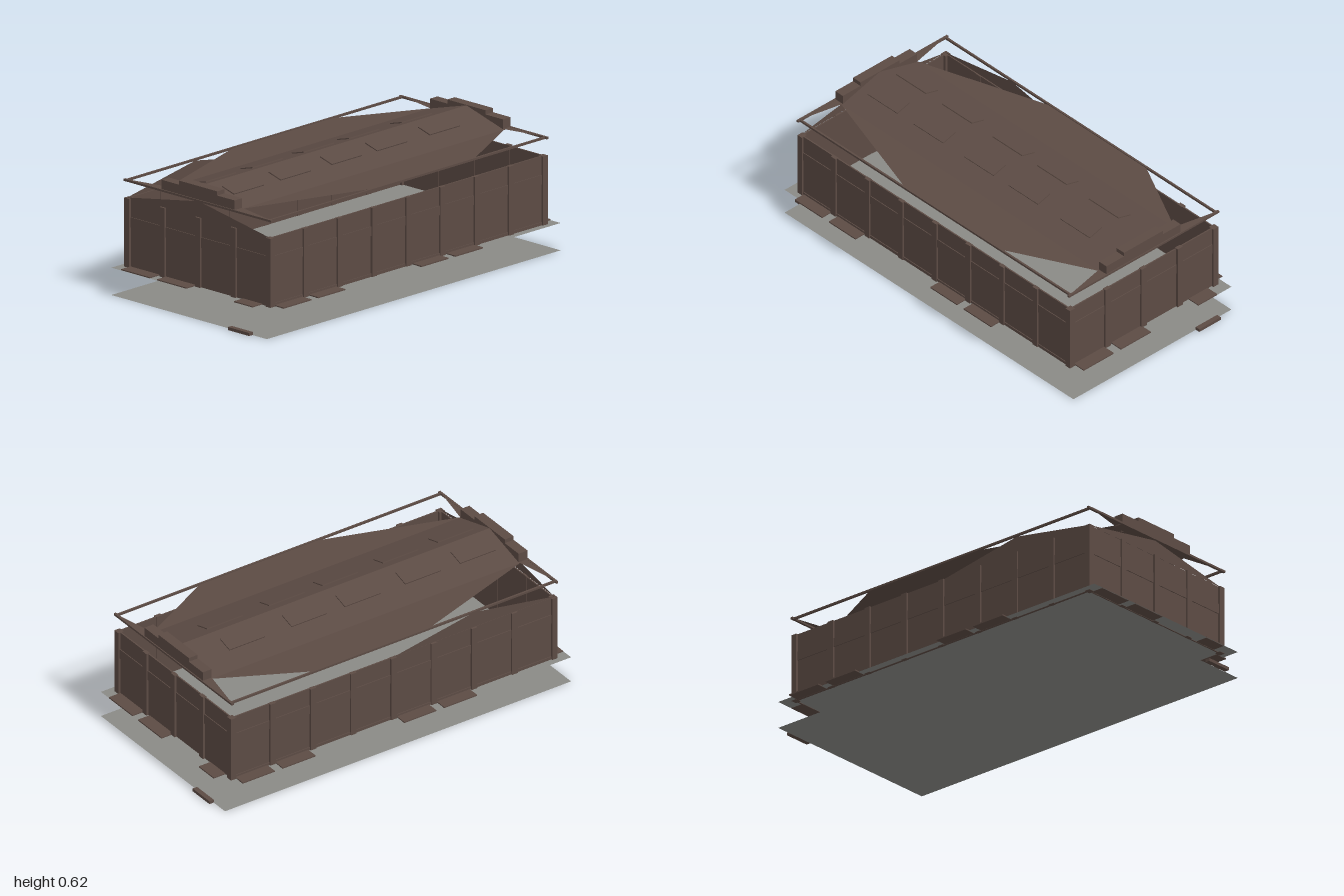
import * as THREE from 'three';

export function createModel() {
  const model = new THREE.Group();
  const brown = new THREE.MeshStandardMaterial({ color: 0x5c4b44, side: THREE.DoubleSide, flatShading: true });
  brown.name = 'weathered brown';
  const grey = new THREE.MeshStandardMaterial({ color: 0x8a8a86, side: THREE.DoubleSide });
  grey.name = 'concrete grey';

  const add = (name, geometry, material = brown) => {
    const mesh = new THREE.Mesh(geometry, material);
    mesh.name = name;
    model.add(mesh);
    return mesh;
  };
  // Box given by its lower and upper limits on each axis
  const box = (name, x0, x1, y0, y1, z0, z1) => {
    const mesh = add(name, new THREE.BoxGeometry(x1 - x0, y1 - y0, z1 - z0));
    mesh.position.set((x0 + x1) / 2, (y0 + y1) / 2, (z0 + z1) / 2);
    return mesh;
  };
  // Flat convex polygon as a fan of triangles
  const sheet = (name, corners) => {
    const g = new THREE.BufferGeometry();
    g.setAttribute('position', new THREE.Float32BufferAttribute(corners.flat(), 3));
    const index = [];
    for (let i = 1; i < corners.length - 1; i++) index.push(0, i, i + 1);
    g.setIndex(index);
    g.computeVertexNormals();
    return add(name, g);
  };

  // Two ground plates
  for (const [name, y] of [['lowerGround', 0], ['upperGround', 0.132]]) {
    const plate = add(name, new THREE.PlaneGeometry(1, 1.95), grey);
    plate.rotation.x = -Math.PI / 2;
    plate.position.y = y;
  }

  const base = 0.13, top = 0.465;
  for (const s of [-1, 1]) {
    // A box on the outside of a side wall or an end wall
    const sideBox = (name, a, b, y0, y1, z0, z1) =>
      box(name, Math.min(s * a, s * b), Math.max(s * a, s * b), y0, y1, z0, z1);
    const endBox = (name, x0, x1, y0, y1, a, b) =>
      box(name, x0, x1, y0, y1, Math.min(s * a, s * b), Math.max(s * a, s * b));

    // Walls with a thicker rail band
    sideBox('sideWall', 0.452, 0.459, base, top, -0.91, 0.91);
    sideBox('sideUpperBand', 0.457, 0.463, 0.33, 0.375, -0.9, 0.9);
    sideBox('sideFooting', 0.457, 0.463, base, 0.147, -0.9, 0.9);
    endBox('endWall', -0.455, 0.455, base, top, 0.902, 0.909);
    endBox('endRail', -0.44, 0.44, 0.325, 0.375, 0.907, 0.913);

    // Posts
    for (let i = -3; i <= 3; i++) {
      const z = i * 0.227;
      sideBox('sidePost', 0.45, 0.469, base, top, z - 0.016, z + 0.016);
    }
    for (const x of [-0.228, 0, 0.228]) endBox('endPost', x - 0.016, x + 0.016, base, top + 0.003, 0.9, 0.92);
    for (const z of [-1, 1]) {
      sideBox('cornerPost', 0.438, 0.47, base, top, z * 0.905 - 0.015, z * 0.905 + 0.015);
    }

    // Thin eaves frame above the walls
    sideBox('eavesRail', 0.455, 0.465, 0.545, 0.555, -0.92, 0.92);
    endBox('endEavesRail', -0.475, 0.475, 0.545, 0.555, 0.908, 0.92);

    // Stepped parapet at each end
    endBox('parapet', -0.235, 0.235, 0.547, 0.6, 0.865, 0.915);
    endBox('parapetStep', -0.123, 0.123, 0.6, 0.62, 0.865, 0.915);
    for (const m of [-1, 1]) {
      sheet('parapetWing', [[m * 0.235, 0.554, s * 0.865], [m * 0.46, 0.554, s * 0.912], [m * 0.235, 0.554, s * 0.912]]);
    }

    // Roof: a low ridge in the middle, flat tapered wings outside
    sheet('roofSlope', [[0, 0.618, 0.87], [s * 0.24, 0.551, 0.87], [s * 0.24, 0.551, -0.87], [0, 0.618, -0.87]]
      .slice()[s > 0 ? 'slice' : 'reverse']());
    const wing = [[s * 0.24, 0.551, 0.87], [s * 0.46, 0.551, 0.2], [s * 0.46, 0.551, -0.44], [s * 0.24, 0.551, -0.87]];
    sheet('roofWing', s > 0 ? wing : wing.reverse());

    // Skylights lying on the slope
    for (const z of [0.71, 0.4, 0.06, -0.24, -0.59]) {
      const light = box('skylight', -0.04, 0.04, -0.004, 0.004, -0.1, 0.1);
      light.position.set(s * 0.09, 0.594, z);
      light.rotation.z = -s * Math.atan2(0.067, 0.24);
    }

    // Loose blocks at ground level
    const block = box('looseBlock', -0.068, 0.068, 0, 0.015, -0.0125, 0.0125);
    block.position.set(s * 0.342, 0.0085, s * 0.987);
  }

  // Gables, one over the front wall and one over the front half of the right wall
  sheet('frontGable', [[-0.46, top, 0.91], [0.46, top, 0.91], [0, 0.545, 0.91]]);
  sheet('sideGable', [[-0.458, top, 0], [-0.458, top, 0.92], [-0.458, 0.545, 0.46]]);

  // Paving slabs round the foot of the walls
  const slab = (x0, x1, z0, z1) => box('pavingSlab', x0, x1, 0.131, 0.137, z0, z1);
  for (const [a, b] of [[-0.89, -0.71], [-0.665, -0.48], [0.02, 0.2], [0.245, 0.43]]) slab(-0.522, -0.46, a, b);
  for (const [a, b] of [[-0.44, -0.255], [-0.21, -0.03], [0.475, 0.655], [0.7, 0.885]]) slab(0.46, 0.52, a, b);
  for (const [a, b] of [[-0.41, -0.29], [0.01, 0.2], [0.245, 0.435]]) slab(a, b, -0.975, -0.91);
  for (const [a, b] of [[-0.44, -0.255], [-0.21, -0.02], [0.285, 0.405]]) slab(a, b, 0.91, 0.972);

  return model;
}
